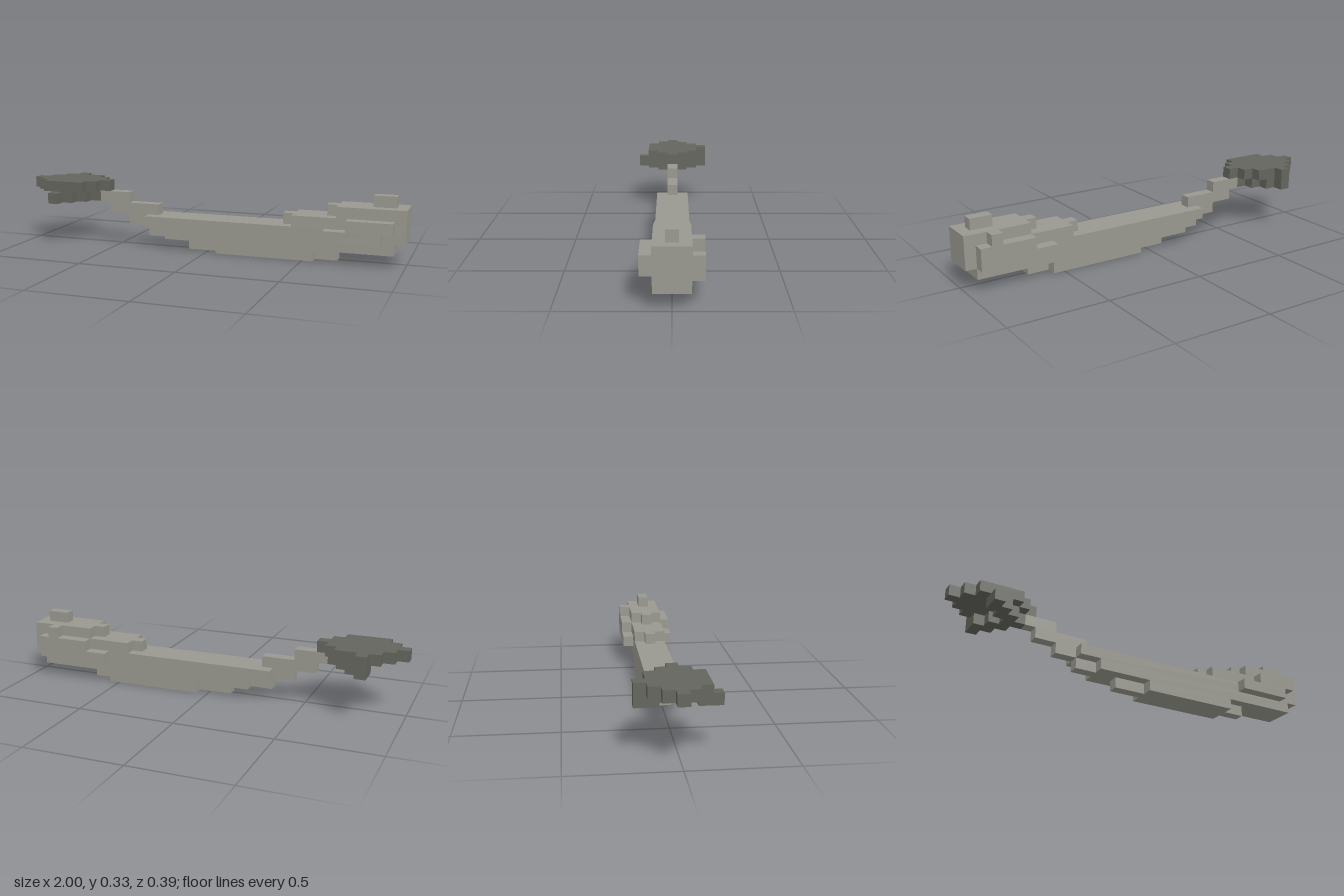
import * as THREE from 'three';
import { mergeGeometries } from 'three/addons/utils/BufferGeometryUtils.js';

const U = 2 / 36; // size of one block

// Box given by block limits: x0, x1, y0, y1, z0, z1
function block([x0, x1, y0, y1, z0, z1]) {
  const g = new THREE.BoxGeometry((x1 - x0) * U, (y1 - y0) * U, (z1 - z0) * U);
  return g.translate((x0 + x1) / 2 * U, (y0 + y1) / 2 * U, (z0 + z1) / 2 * U);
}

function part(name, boxes, material) {
  const mesh = new THREE.Mesh(mergeGeometries(boxes.map(block)), material);
  mesh.name = name;
  return mesh;
}

export function createModel() {
  const stone = new THREE.MeshStandardMaterial({ color: 0x9a9990 });
  stone.name = 'light grey';
  const dark = new THREE.MeshStandardMaterial({ color: 0x64655d });
  dark.name = 'dark grey';
  const group = new THREE.Group();
  group.name = 'curvedBlockModel';

  // Three blocks wide, stacked in layers that curve up at both ends
  group.add(part('body', [
    [1, 10, 0, 1, -1.5, 1.5],
    [-4, 17, 1, 2, -1.5, 1.5],
    [-6, 18, 2, 3, -1.5, 1.5],
    [8, 18, 3, 4, -1.5, 1.5],
    [12, 18, 4, 5, -1.5, 1.5],
  ], stone));

  // One-block tips at the ends of the layers
  group.add(part('layerTips', [
    [-2, 1, 0, 1, -0.5, 0.5],
    [10, 12, 0, 1, -0.5, 0.5],
    [-6, -4, 1, 2, -0.5, 0.5],
    [7, 8, 3, 4, -0.5, 0.5],
    [11, 12, 4, 5, -0.5, 0.5],
    [15, 17, 5, 6, -0.5, 0.5],
  ], stone));

  // Thin stepped neck
  group.add(part('neck', [
    [-8, -6, 2, 3, -0.5, 0.5],
    [-10, -5, 3, 4, -0.5, 0.5],
    [-11, -8, 4, 5, -0.5, 0.5],
  ], stone));

  // Raised pieces on both flanks of the thick end
  group.add(part('frontRidge', [
    [11, 16, 2, 3, 1.5, 2.5],
    [13, 17, 3, 4, 1.5, 2.5],
  ], stone));
  group.add(part('backRidge', [
    [10, 17, 2, 3, -2.5, -1.5],
    [12, 17, 3, 4, -2.5, -1.5],
    [15, 16, 4, 5, -2.5, -1.5],
  ], stone));

  // Flat diamond-shaped head
  group.add(part('head', [
    [-18, -10, 5, 6, -0.5, 0.5],
    [-17, -11, 5, 6, -1.5, 1.5],
    [-16, -12, 5, 6, -2.5, 2.5],
  ], dark));

  // Prongs and blocks under the head
  group.add(part('headUnderside', [
    [-13, -11, 4, 5, -0.5, 0.5],
    [-14, -12, 4, 5, -1.5, -0.5],
    [-14, -12, 4, 5, 0.5, 1.5],
    [-15, -13, 4, 5, 1.5, 2.5],
    [-15, -13, 4, 5, -2.5, -1.5],
  ], dark));
  group.add(part('frontProng', [[-15, -14, 4, 5, 2.5, 3.5]], dark));
  group.add(part('backProng', [[-15, -14, 4, 6, -3.5, -2.5]], dark));

  return group;
}
